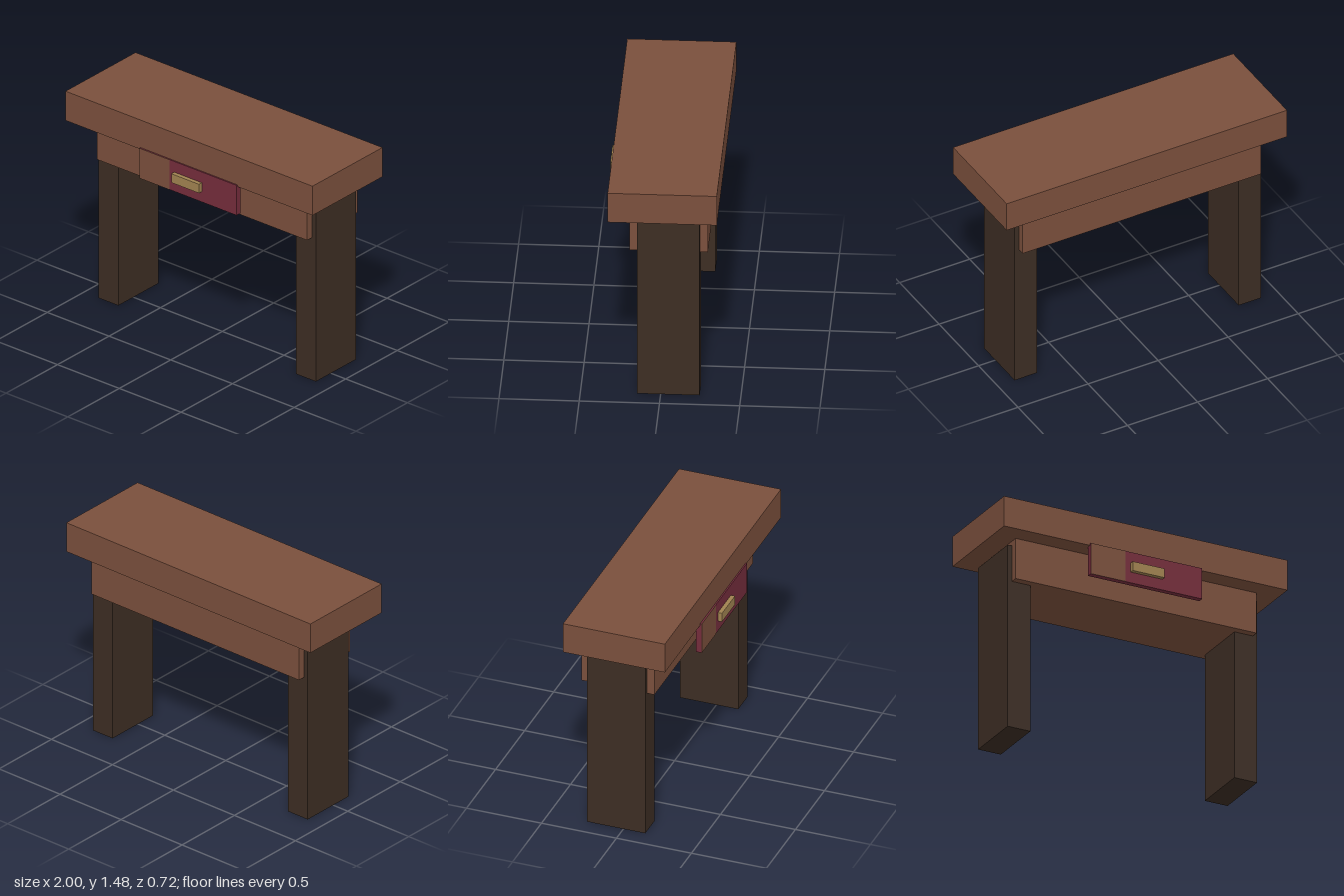
import * as THREE from 'three';

const material = (name, color) => {
  const m = new THREE.MeshStandardMaterial({ color });
  m.name = name;
  return m;
};

export function createModel() {
  const wood = material('warm wood', 0x7a4f3c);
  const darkWood = material('dark wood', 0x3c2d23);
  const maroon = material('maroon paint', 0x742c3b);
  const brass = material('brass', 0xa08250);

  const model = new THREE.Group();
  model.name = 'console table';

  // Box given by its minimum and maximum on each axis
  const box = (name, mat, [x0, x1], [y0, y1], [z0, z1]) => {
    const mesh = new THREE.Mesh(new THREE.BoxGeometry(x1 - x0, y1 - y0, z1 - z0), mat);
    mesh.position.set((x0 + x1) / 2, (y0 + y1) / 2, (z0 + z1) / 2);
    mesh.name = name;
    model.add(mesh);
  };

  // Thick top slab and the solid apron below it
  box('tabletop', wood, [-1, 1], [1.275, 1.48], [-0.357, 0.323]);
  box('apron', wood, [-0.85, 0.85], [1.0, 1.275], [-0.292, 0.195]);

  // Two wide slab legs
  box('leftLeg', darkWood, [0.72, 0.88], [0, 1.245], [-0.243, 0.146]);
  box('rightLeg', darkWood, [-0.88, -0.72], [0, 1.245], [-0.243, 0.146]);

  // Drawer front, with its wood-coloured end panel, and the pull
  box('drawerFront', maroon, [-0.393, 0.393], [1.077, 1.287], [0.295, 0.332]);
  box('drawerPanel', wood, [-0.393, -0.15], [1.077, 1.287], [0.332, 0.334]);
  box('drawerHandle', brass, [-0.112, 0.112], [1.15, 1.212], [0.332, 0.36]);

  return model;
}
